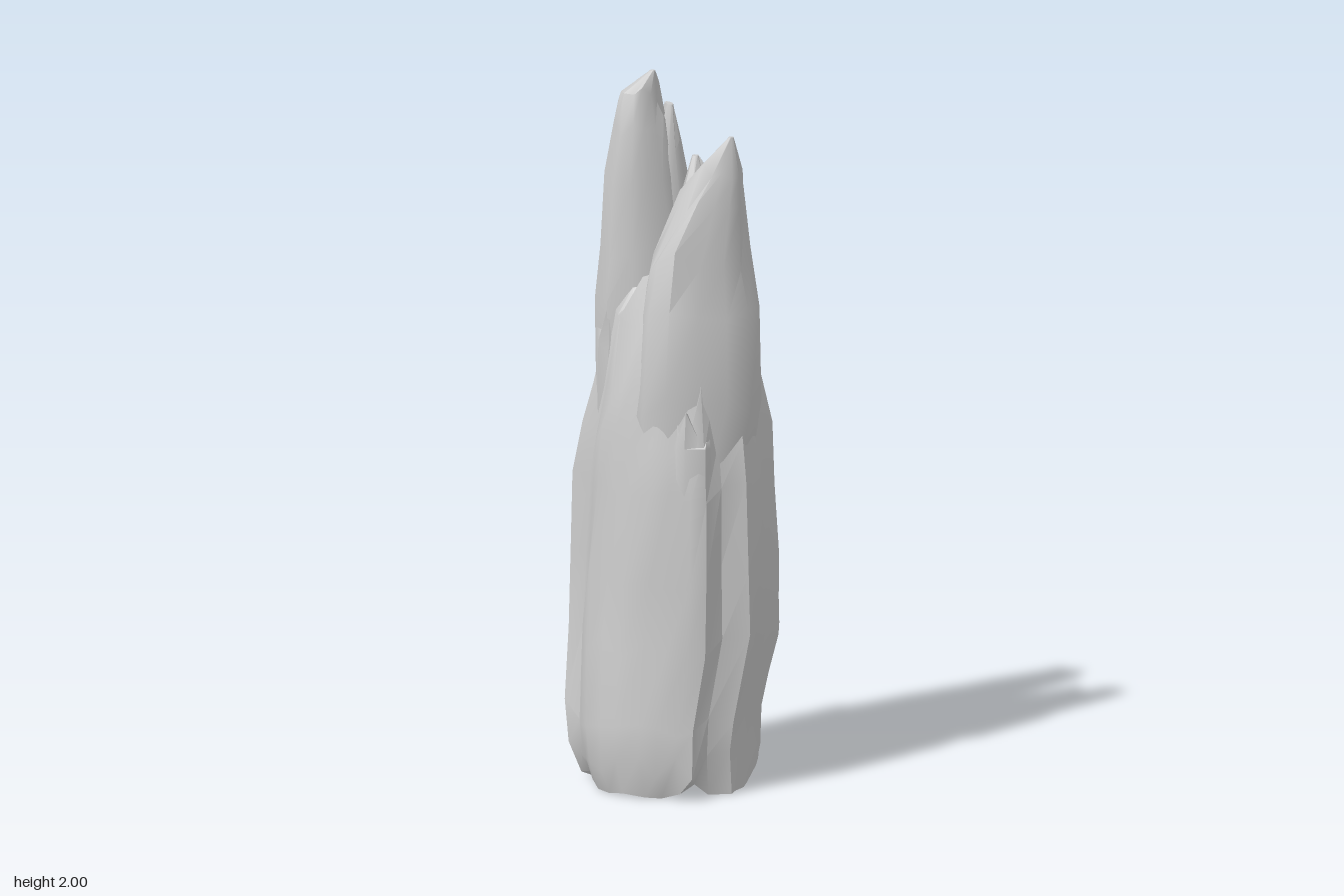
import * as THREE from 'three';
import { toCreasedNormals } from 'three/addons/utils/BufferGeometryUtils.js';

const material = new THREE.MeshStandardMaterial({ color: 0xcccccc, side: THREE.DoubleSide });

// Ragged plan of the trunk, x and z as shares of the half width
const trunkPlan = [
  [1, -0.07], [0.91, 0], [0.95, 0.13], [0.87, 0.33], [0.67, 0.47], [0.57, 0.63], [0.43, 0.75],
  [0.33, 0.87], [0.07, 0.83], [-0.17, 1], [-0.33, 0.95], [-0.5, 0.8], [-0.67, 0.73],
  [-0.85, 0.5], [-0.93, 0.33], [-1, 0.1], [-0.97, -0.07], [-0.9, -0.27], [-0.98, -0.48],
  [-0.8, -0.5], [-0.67, -0.7], [-0.5, -0.78], [-0.4, -0.75], [-0.17, -0.87], [0.07, -1],
  [0.27, -0.88], [0.33, -0.75], [0.42, -0.73], [0.45, -0.6], [0.75, -0.48], [0.86, -0.37], [1, -0.3],
];

function seeded(seed) {
  let s = seed * 7919 + 17;
  return () => {
    s = (s * 16807) % 2147483647;
    return s / 2147483647;
  };
}

// A roughly round plan with a random ridge at each corner
function splinterPlan(sides, depth, seed) {
  const rand = seeded(seed);
  rand();
  return Array.from({ length: sides }, (_, i) => {
    const a = ((i + (rand() - 0.5) * 0.5) / sides) * Math.PI * 2;
    const k = 1.04 - depth * rand();
    return [Math.cos(a) * k, Math.sin(a) * k];
  });
}

// A piece of rock: the plan is fitted into each ring [y, xMin, xMax, zMin, zMax].
// jag makes the top rim ragged.
function shard(name, plan, rings, { seed = 1, jag = 0, base = 0 } = {}) {
  const rand = seeded(seed + 100);
  rand();
  const sides = plan.length;
  const last = rings.length - 1;
  const positions = [];
  const index = [];

  rings.forEach(([y, x0, x1, z0, z1], r) => {
    for (const [px, pz] of plan) {
      const k = 1.015 - 0.05 * rand();
      const dy = r === last ? -jag * rand() : (rand() - 0.5) * 0.07;
      positions.push(
        (x0 + x1) / 2 + (px * k * (x1 - x0)) / 2,
        Math.max(0, y + dy),
        (z0 + z1) / 2 + (pz * k * (z1 - z0)) / 2
      );
    }
  });
  for (let r = 0; r < last; r++) {
    for (let i = 0; i < sides; i++) {
      const a = r * sides + i;
      const b = r * sides + ((i + 1) % sides);
      index.push(a, a + sides, b, b, a + sides, b + sides);
    }
  }

  // End caps
  const centre = (ring, dy) => {
    positions.push((ring[1] + ring[2]) / 2, ring[0] + dy, (ring[3] + ring[4]) / 2);
    return positions.length / 3 - 1;
  };
  const bottom = centre(rings[0], base);
  const top = centre(rings[last], -jag * 0.4);
  for (let i = 0; i < sides; i++) {
    const j = (i + 1) % sides;
    index.push(bottom, i, j, top, last * sides + j, last * sides + i);
  }

  const geometry = new THREE.BufferGeometry();
  geometry.setAttribute('position', new THREE.Float32BufferAttribute(positions, 3));
  geometry.setIndex(index);
  const mesh = new THREE.Mesh(toCreasedNormals(geometry, 0.8), material);
  mesh.name = name;
  return mesh;
}

export function createModel() {
  const group = new THREE.Group();
  group.name = 'rockSpire';

  group.add(
    // Broad trunk, hollowed underneath
    shard('trunk', trunkPlan, [
      [0.06, -0.16, 0.11, -0.11, 0.17],
      [0.015, -0.27, 0.22, -0.21, 0.285],
      [0.09, -0.3, 0.225, -0.215, 0.3],
      [0.2, -0.302, 0.24, -0.235, 0.3],
      [0.42, -0.285, 0.302, -0.295, 0.3],
      [0.62, -0.272, 0.292, -0.297, 0.3],
      [0.85, -0.262, 0.285, -0.287, 0.297],
      [1.0, -0.25, 0.27, -0.24, 0.272],
      [1.14, -0.222, 0.235, -0.215, 0.25],
      [1.33, -0.19, 0.2, -0.18, 0.22],
      [1.47, -0.14, 0.14, -0.13, 0.15],
    ], { seed: 5, jag: 0.12, base: 0.02 }),

    // Front blade with its lower second tip
    shard('frontPeak', splinterPlan(14, 0.13, 12), [
      [0.75, -0.13, 0.15, 0.02, 0.22],
      [1.1, -0.19, 0.21, -0.02, 0.265],
      [1.35, -0.16, 0.205, -0.02, 0.235],
      [1.5, -0.13, 0.18, 0, 0.215],
      [1.65, -0.04, 0.155, 0.02, 0.2],
      [1.74, 0.01, 0.14, 0.07, 0.185],
      [1.84, 0.085, 0.1, 0.15, 0.165],
    ], { seed: 12 }),
    shard('frontSecondTip', splinterPlan(9, 0.16, 8), [
      [1.3, -0.08, 0.14, -0.02, 0.15],
      [1.6, -0.04, 0.11, 0.01, 0.13],
      [1.7, -0.01, 0.08, 0.025, 0.1],
      [1.77, 0.02, 0.04, 0.04, 0.06],
    ], { seed: 8 }),

    // Tallest blade, leaning to the back
    shard('mainPeak', splinterPlan(14, 0.12, 21), [
      [0.8, -0.15, 0.08, -0.17, 0.03],
      [1.15, -0.205, 0.13, -0.21, 0.03],
      [1.35, -0.21, 0.11, -0.19, 0.025],
      [1.5, -0.2, 0.08, -0.168, 0.015],
      [1.7, -0.19, 0.03, -0.14, 0.01],
      [1.84, -0.165, -0.01, -0.122, 0],
      [1.93, -0.15, -0.035, -0.112, -0.01],
      [2.0, -0.07, -0.055, -0.045, -0.03],
    ], { seed: 21 }),
    shard('mainSecondTip', splinterPlan(9, 0.16, 4), [
      [1.35, -0.08, 0.12, -0.15, 0.02],
      [1.6, -0.07, 0.07, -0.12, 0.01],
      [1.8, -0.05, 0.025, -0.09, 0],
      [1.9, -0.02, 0, -0.07, -0.02],
    ], { seed: 4 })
  );

  // Broken ledges around the flanks: [name, top, x, z, half width, seed]
  const ledges = [
    ['leftLedge', 1.1, 0.215, -0.05, 0.075, 3],
    ['backLedge', 1.27, 0.06, -0.165, 0.075, 6],
    ['rightLedge', 1.36, -0.16, -0.08, 0.06, 9],
    ['rightLowLedge', 1.03, -0.19, 0.03, 0.065, 14],
    ['leftHighLedge', 1.38, 0.15, 0.03, 0.065, 18],
    ['frontPlate', 1.13, -0.05, 0.215, 0.07, 23],
    ['backRightLedge', 1.08, -0.12, -0.15, 0.06, 27],
  ];
  for (const [name, top, x, z, w, seed] of ledges) {
    const ring = (y, k) => [y, x - w * k, x + w * k, z - w * k, z + w * k];
    group.add(shard(name, splinterPlan(9, 0.22, seed), [
      ring(top - 0.7, 0.5),
      ring(top - 0.35, 1),
      ring(top - 0.12, 1),
      ring(top, 0.8),
    ], { seed, jag: 0.14 }));
  }
  return group;
}
